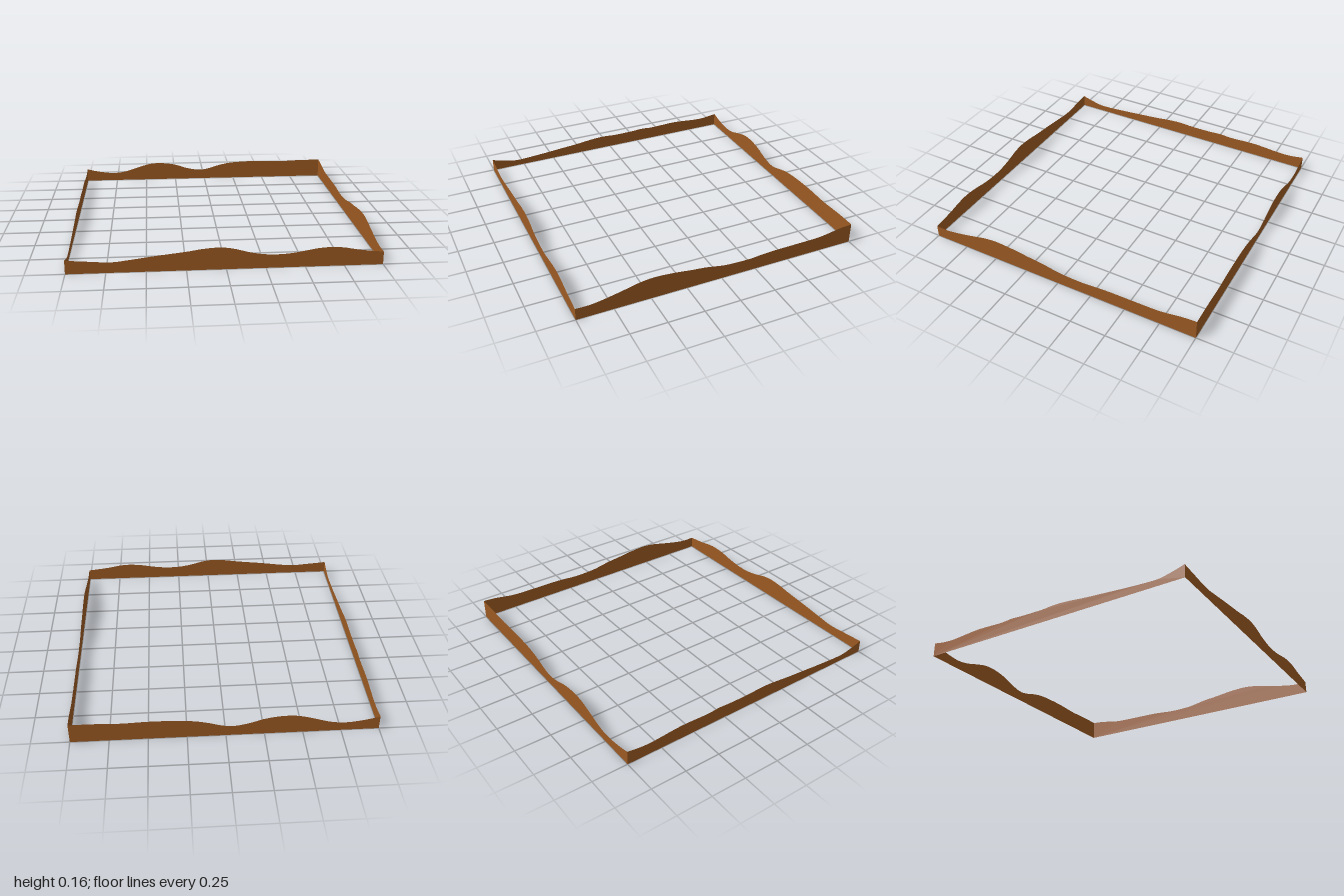
import * as THREE from 'three';

// Top-edge profiles as [position along the side, height]
const frontProfile = [[-1, 0.09], [-0.87, 0.08], [-0.72, 0.07], [-0.6, 0.082], [-0.45, 0.102], [-0.25, 0.125],
  [-0.15, 0.14], [-0.04, 0.147], [0.05, 0.135], [0.15, 0.108], [0.25, 0.092], [0.35, 0.09], [0.45, 0.1],
  [0.57, 0.121], [0.67, 0.128], [0.75, 0.121], [0.85, 0.103], [1, 0.085]];
const backProfile = [[-1, 0.1], [-0.9, 0.077], [-0.78, 0.063], [-0.68, 0.074], [-0.58, 0.105], [-0.48, 0.134],
  [-0.4, 0.142], [-0.32, 0.137], [-0.24, 0.122], [-0.15, 0.093], [-0.05, 0.075], [0.03, 0.085], [0.12, 0.112],
  [0.22, 0.132], [0.35, 0.141], [0.5, 0.143], [0.67, 0.137], [0.85, 0.143], [1, 0.142]];
const rightProfile = [[-1, 0.142], [-0.9, 0.134], [-0.75, 0.11], [-0.6, 0.106], [-0.4, 0.104], [-0.3, 0.099],
  [-0.2, 0.091], [-0.08, 0.093], [0, 0.1], [0.12, 0.122], [0.22, 0.133], [0.35, 0.15], [0.48, 0.158],
  [0.58, 0.148], [0.68, 0.125], [0.8, 0.1], [0.9, 0.085], [1, 0.085]];
const leftProfile = [[-1, 0.1], [-0.9, 0.086], [-0.8, 0.085], [-0.6, 0.1], [-0.4, 0.094], [-0.3, 0.1],
  [-0.2, 0.095], [-0.05, 0.094], [0.05, 0.1], [0.15, 0.096], [0.3, 0.08], [0.45, 0.068], [0.6, 0.056],
  [0.8, 0.046], [0.9, 0.062], [1, 0.09]];

export function createModel() {
  const earth = new THREE.MeshStandardMaterial({ color: 0x9c5a22, side: THREE.DoubleSide });
  earth.name = 'earth brown';
  const group = new THREE.Group();
  group.name = 'terrainSkirt';

  // One sheet-thin wall: flat at the bottom, rolling along the top
  function wall(name, profile, flip, x, z, turn) {
    const pts = profile.map(([t, h]) => new THREE.Vector2(t * flip, h));
    if (flip < 0) pts.reverse();
    const shape = new THREE.Shape();
    shape.moveTo(1, 0);
    shape.lineTo(-1, 0);
    shape.lineTo(pts[0].x, pts[0].y);
    shape.splineThru(pts.slice(1));
    shape.closePath();
    const mesh = new THREE.Mesh(new THREE.ShapeGeometry(shape, 4), earth);
    mesh.name = name;
    mesh.position.set(x, 0, z);
    mesh.rotation.y = turn;
    group.add(mesh);
  }

  // Each wall faces outward, so the back and right profiles run reversed
  wall('frontWall', frontProfile, 1, 0, 1, 0);
  wall('backWall', backProfile, -1, 0, -1, Math.PI);
  wall('positiveXWall', rightProfile, -1, 1, 0, Math.PI / 2);
  wall('negativeXWall', leftProfile, 1, -1, 0, -Math.PI / 2);
  return group;
}
